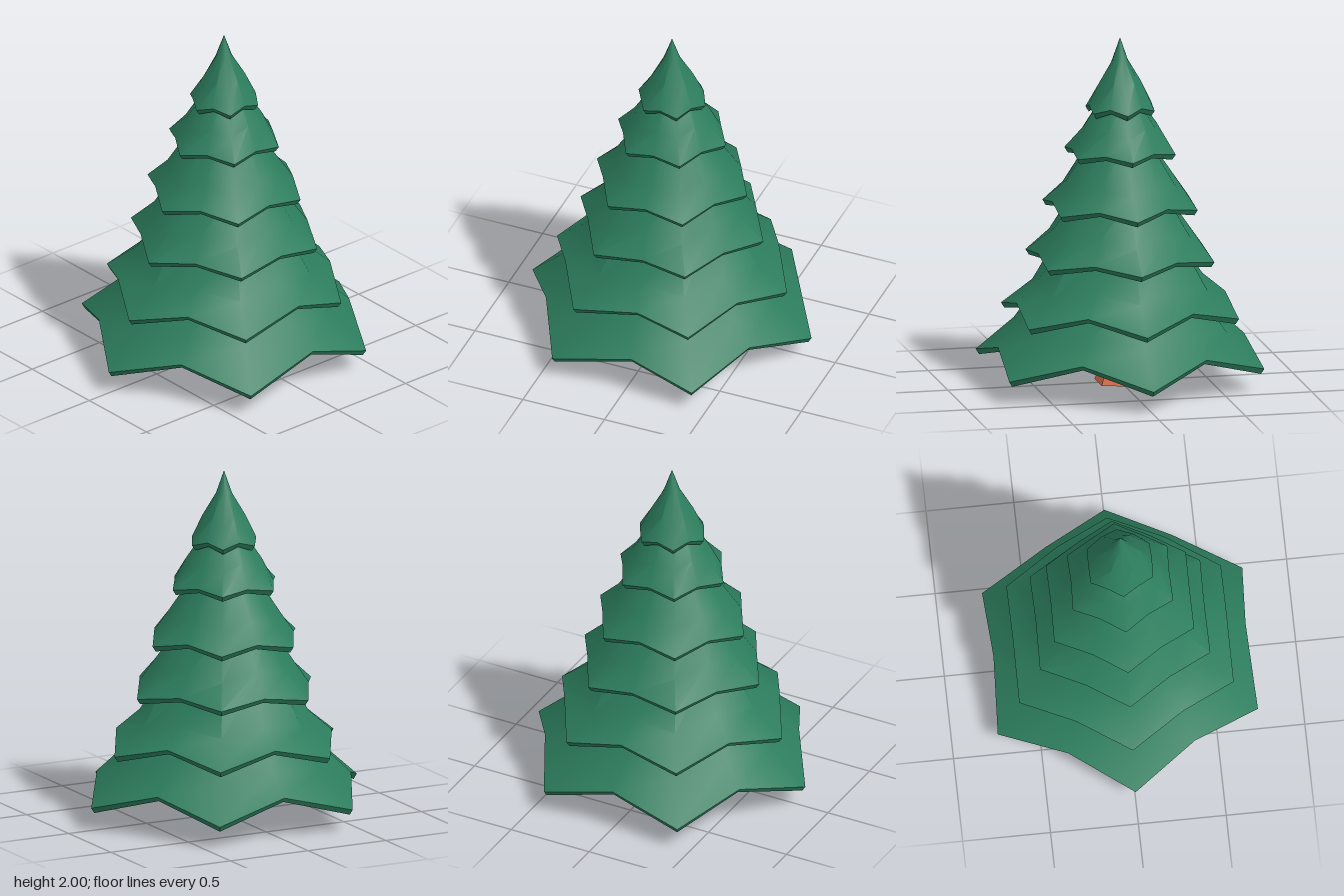
import * as THREE from 'three';
import { toCreasedNormals } from 'three/addons/utils/BufferGeometryUtils.js';

const SIDES = 12; // six drooping tips alternating with six raised notches

// Surface through a list of rings; a ring is { tip: [r, y], notch: [r, y], shift }
function loftRings(rings) {
  const pos = [];
  const point = (ring, i) => {
    const k = i % SIDES;
    const [r, y] = k % 2 ? ring.notch : ring.tip;
    const a = (k / SIDES) * Math.PI * 2;
    const dx = k === 3 ? ring.shift || 0 : 0; // the front notch sits off centre
    return [r * Math.cos(a) + dx, y, r * Math.sin(a)];
  };
  for (let j = 0; j < rings.length - 1; j++) {
    const lo = rings[j], hi = rings[j + 1];
    for (let i = 0; i < SIDES; i++) {
      const a = point(lo, i), b = point(lo, i + 1), c = point(hi, i + 1), d = point(hi, i);
      if (lo.tip[0] > 0) pos.push(...a, ...d, ...b);
      if (hi.tip[0] > 0) pos.push(...b, ...d, ...c);
    }
  }
  const geo = new THREE.BufferGeometry();
  geo.setAttribute('position', new THREE.Float32BufferAttribute(pos, 3));
  return toCreasedNormals(geo, 0.65);
}

// One hollow skirt of branches, from the inner crown out over the rim to the top
function branchTier({ tip, notch, mid, top, apex, shift }) {
  const [tr, ty] = tip, [nr, ny] = notch, [mr, my] = mid, [ur, uy] = top;
  const ring = (t, n, s) => ({ tip: t, notch: n, shift: s });
  const inset = Math.min(0.04, ur * 0.4);
  return loftRings([
    ring([0, uy - 0.04], [0, uy - 0.04]),
    ring([ur - inset, uy - 0.05], [(ur - inset) * 0.9, uy - 0.05]),
    ring([mr - 0.02, my - 0.04], [(mr - 0.02) * 0.91, my]),
    ring([tr - 0.02, ty], [nr - 0.015, ny], shift),
    ring([tr, ty + 0.03], [nr, ny + 0.025], shift),
    ring([mr, my], [mr * 0.92, my + 0.045]),
    ring([ur, uy], [ur * 0.9, uy + 0.01]),
    ring([0, apex], [0, apex]),
  ]);
}

export function createModel() {
  const tree = new THREE.Group();
  tree.name = 'pineTree';
  const green = new THREE.MeshStandardMaterial({ color: 0x2c7d5d });
  const bark = new THREE.MeshStandardMaterial({ color: 0xdc704a, flatShading: true });

  // Branch tiers from bottom to top: [radius, height] of each station
  const tiers = [
    { tip: [0.855, 0.10], notch: [0.72, 0.22], mid: [0.63, 0.33], top: [0.45, 0.58], apex: 0.64, shift: 0.05 },
    { tip: [0.705, 0.38], notch: [0.61, 0.47], mid: [0.52, 0.56], top: [0.38, 0.80], apex: 0.86, shift: 0.04 },
    { tip: [0.56, 0.70], notch: [0.48, 0.745], mid: [0.42, 0.86], top: [0.27, 1.10], apex: 1.15, shift: 0.02 },
    { tip: [0.46, 0.995], notch: [0.395, 1.04], mid: [0.34, 1.14], top: [0.17, 1.41], apex: 1.45 },
    { tip: [0.33, 1.31], notch: [0.28, 1.34], mid: [0.23, 1.45], top: [0.10, 1.66], apex: 1.70 },
    { tip: [0.205, 1.555], notch: [0.182, 1.59], mid: [0.13, 1.70], top: [0.05, 1.86], apex: 2.0 },
  ];
  tiers.forEach((t, i) => {
    const tier = new THREE.Mesh(branchTier(t), green);
    tier.name = `branchTier${i + 1}`;
    tree.add(tier);
  });

  // Five-sided trunk flaring at the foot, one edge pointing back
  const profile = [[0, 0], [0.157, 0], [0.128, 0.07], [0.112, 0.14], [0.105, 0.22], [0.10, 0.55], [0, 0.55]]
    .map(([r, y]) => new THREE.Vector2(r, y));
  const trunk = new THREE.Mesh(new THREE.LatheGeometry(profile, 5, Math.PI), bark);
  trunk.name = 'trunk';
  tree.add(trunk);
  return tree;
}
